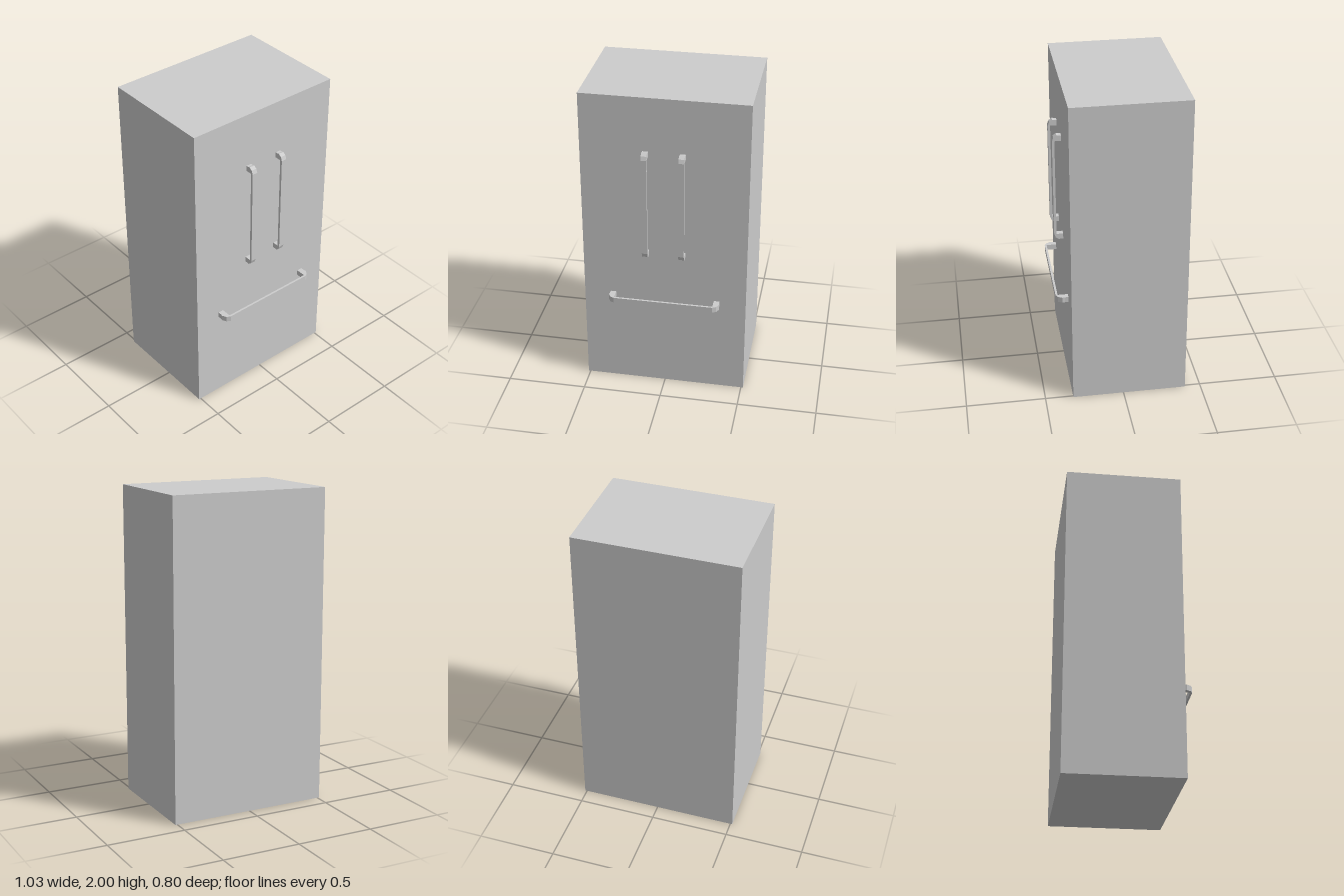
import * as THREE from 'three';

const FRONT = 0.323, BACK = -0.4, WIDTH = 1.026, HEIGHT = 2;

// Bracket-shaped pull with chamfered corners: lies along x, projects toward +z
function handleGeometry(length, reach, bar, width) {
  const h = length / 2, leg = 0.038;
  const half = [[h - 0.003, -0.002], [h - 0.003, reach * 0.27], [h, reach * 0.5], [h - 0.014, reach * 0.84], [h - leg, reach]];
  const mirrored = half.map(([x, y]) => [-x, y]).reverse();
  const inner = h - leg;
  const outline = [
    ...half, ...mirrored,
    [-inner, -0.002], [-inner, reach - bar], [inner, reach - bar], [inner, -0.002],
  ];
  const shape = new THREE.Shape(outline.map(([x, y]) => new THREE.Vector2(x, y)));
  const geometry = new THREE.ExtrudeGeometry(shape, { depth: width, bevelEnabled: false });
  geometry.translate(0, 0, -width / 2);
  geometry.rotateX(Math.PI / 2);
  return geometry;
}

export function createModel() {
  const group = new THREE.Group();
  const steel = new THREE.MeshStandardMaterial({ color: 0xcccccc });
  steel.name = 'light grey';

  const add = (name, geometry, x, y, z) => {
    const mesh = new THREE.Mesh(geometry, steel);
    mesh.name = name;
    mesh.position.set(x, y, z);
    group.add(mesh);
    return mesh;
  };

  // Cabinet
  add('cabinet', new THREE.BoxGeometry(WIDTH, HEIGHT, FRONT - BACK), 0, HEIGHT / 2, (FRONT + BACK) / 2);

  // Pair of upright door handles
  const doorHandle = handleGeometry(0.714, 0.056, 0.015, 0.035).rotateZ(Math.PI / 2);
  add('leftDoorHandle', doorHandle, 0.112, 1.302, FRONT);
  add('rightDoorHandle', doorHandle, -0.114, 1.302, FRONT);

  // Drawer handle
  add('drawerHandle', handleGeometry(0.7, 0.077, 0.013, 0.036), 0, 0.632, FRONT);

  return group;
}
